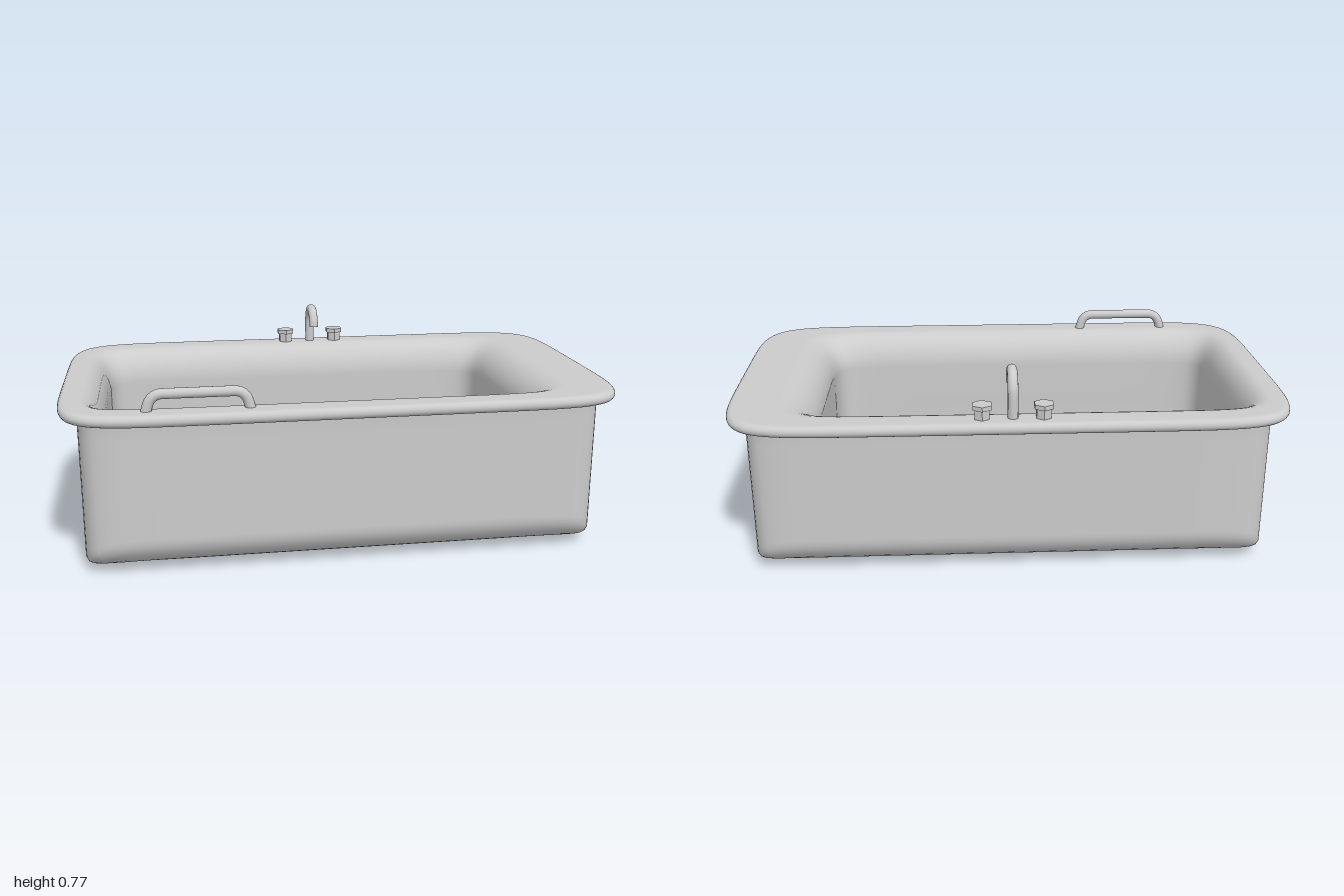
import * as THREE from 'three';

const material = new THREE.MeshStandardMaterial({ color: 0xcccccc });
const SIDE = 32; // points along each side of a ring

function addMesh(parent, name, geometry, x = 0, y = 0, z = 0) {
  const mesh = new THREE.Mesh(geometry, material);
  mesh.name = name;
  mesh.position.set(x, y, z);
  parent.add(mesh);
  return mesh;
}

// Rounded, slightly bowed rectangle |x/a|^p + |z/b|^q = 1, denser at the corners
function outline({ a, b, cx = 0, p, q }) {
  const points = [];
  for (let s = 0; s < 4; s++) {
    for (let k = 0; k < SIDE; k++) {
      const w = Math.sin((k / SIDE - 0.5) * Math.PI);
      const [u, v] = [[1, w], [-w, 1], [-1, -w], [w, -1]][s];
      let lo = 0, hi = 1;
      for (let i = 0; i < 30; i++) {
        const m = (lo + hi) / 2;
        if (Math.abs(u * m) ** p + Math.abs(v * m) ** q > 1) hi = m; else lo = m;
      }
      points.push([cx + a * u * lo, b * v * lo]);
    }
  }
  return points;
}

// The underside curves up towards the long sides
function lift(z, y) {
  const t = Math.abs(z) / 0.5;
  return (0.02 * t ** 2 + 0.08 * t ** 10) * Math.max(0, 1 - y / 0.3);
}

function loft(rings) {
  const positions = [], index = [], n = SIDE * 4;
  rings.forEach((ring, i) => {
    outline(ring).forEach(([x, z], k) => {
      positions.push(x, ring.y + lift(z, ring.y), z);
      if (i === rings.length - 1) return;
      const a = i * n + k, b = i * n + (k + 1) % n;
      index.push(a, a + n, b, b, a + n, b + n);
    });
  });
  const geometry = new THREE.BufferGeometry();
  geometry.setAttribute('position', new THREE.Float32BufferAttribute(positions, 3));
  geometry.setIndex(index);
  geometry.computeVertexNormals();
  return geometry;
}

function tubRings() {
  const rings = [];
  const body = (y, inset) => rings.push({ y, a: 0.935 - inset, b: 0.5 - inset, p: 16, q: 9 });
  const rim = (y, inset) => rings.push({ y, a: 1 - inset, b: 0.585 - inset, p: 10, q: 6 });

  // underside, from the middle outwards
  for (const s of [0.001, 0.2, 0.4, 0.6, 0.75, 0.88, 0.96]) {
    rings.push({ y: 0, a: 0.9 * s, b: 0.465 * s, p: 16, q: 9 });
  }
  // bottom edge and outer walls
  body(0, 0.035);
  body(0.004, 0.018);
  body(0.012, 0.007);
  body(0.03, 0);
  for (const y of [0.06, 0.12, 0.2, 0.3, 0.5, 0.55]) body(y, 0);
  body(0.561, -0.004);
  body(0.564, -0.012);
  // rolled rim
  rim(0.563, 0.03);
  for (let i = 0; i <= 10; i++) {
    const t = -Math.PI / 2 + (i / 10) * Math.PI;
    rim(0.584 + 0.021 * Math.sin(t), 0.02 - 0.02 * Math.cos(t));
  }
  rim(0.605, 0.035);
  // soft roll from the rim into the basin
  for (let i = 0; i <= 10; i++) {
    const t = (i / 10) * Math.PI / 2, s = Math.sin(t), m = THREE.MathUtils.lerp;
    rings.push({
      y: 0.605 - 0.13 * (1 - Math.cos(t)),
      a: m(0.88, 0.77, s), b: m(0.5, 0.4, s), cx: m(-0.055, -0.08, s),
      p: m(11, 14, s), q: m(7, 9, s),
    });
  }
  // inner walls, floor fillet and floor
  const inner = (y, inset) => rings.push({ y, a: 0.77 - inset, b: 0.4 - inset, cx: -0.08, p: 14, q: 9 });
  inner(0.3, 0);
  inner(0.12, 0);
  inner(0.09, 0.006);
  inner(0.075, 0.016);
  inner(0.07, 0.035);
  for (const s of [0.85, 0.6, 0.3, 0.001]) {
    rings.push({ y: 0.07, a: 0.735 * s, b: 0.365 * s, cx: -0.08, p: 14, q: 9 });
  }
  return rings;
}

// Round bar with flat end caps
function bar(parent, name, path, radius, segments) {
  const group = new THREE.Group();
  group.name = name;
  parent.add(group);
  addMesh(group, name + 'Tube', new THREE.TubeGeometry(path, segments, radius, 16));
  for (const end of [0, 1]) {
    const cap = addMesh(group, name + 'End', new THREE.CircleGeometry(radius, 16));
    cap.position.copy(path.getPointAt(end));
    const out = path.getTangentAt(end).multiplyScalar(end ? 1 : -1);
    cap.quaternion.setFromUnitVectors(new THREE.Vector3(0, 0, 1), out);
  }
}

export function createModel() {
  const model = new THREE.Group();
  model.name = 'bathtub';
  addMesh(model, 'tub', loft(tubRings()));

  // gooseneck spout
  const neck = [new THREE.Vector3(0, 0.595, -0.52), new THREE.Vector3(0, 0.64, -0.52)];
  for (let i = 0; i <= 12; i++) {
    const t = Math.PI * (1 - i / 12);
    neck.push(new THREE.Vector3(0, 0.688 + 0.065 * Math.sin(t), -0.455 + 0.065 * Math.cos(t)));
  }
  bar(model, 'spout', new THREE.CatmullRomCurve3(neck), 0.018, 48);

  // six-sided taps either side of the spout
  for (const side of [-1, 1]) {
    const tap = new THREE.Group();
    tap.name = side > 0 ? 'leftTap' : 'rightTap';
    tap.position.set(side * 0.105, 0, -0.52);
    model.add(tap);
    const stem = new THREE.CylinderGeometry(0.029, 0.029, 0.05, 6).toNonIndexed();
    const cap = new THREE.CylinderGeometry(0.037, 0.037, 0.016, 6).toNonIndexed();
    for (const g of [stem, cap]) g.computeVertexNormals();
    addMesh(tap, 'tapStem', stem, 0, 0.62, 0);
    addMesh(tap, 'tapCap', cap, 0, 0.648, 0);
  }

  // grab handle on the front rim
  const v = (x, y) => new THREE.Vector3(x, y, 0.51);
  const grip = new THREE.CurvePath();
  grip.add(new THREE.LineCurve3(v(-0.695, 0.595), v(-0.688, 0.62)));
  grip.add(new THREE.QuadraticBezierCurve3(v(-0.688, 0.62), v(-0.676, 0.662), v(-0.635, 0.662)));
  grip.add(new THREE.LineCurve3(v(-0.635, 0.662), v(-0.4, 0.662)));
  grip.add(new THREE.QuadraticBezierCurve3(v(-0.4, 0.662), v(-0.36, 0.662), v(-0.35, 0.62)));
  grip.add(new THREE.LineCurve3(v(-0.35, 0.62), v(-0.343, 0.595)));
  bar(model, 'grabHandle', grip, 0.018, 64);

  return model;
}
